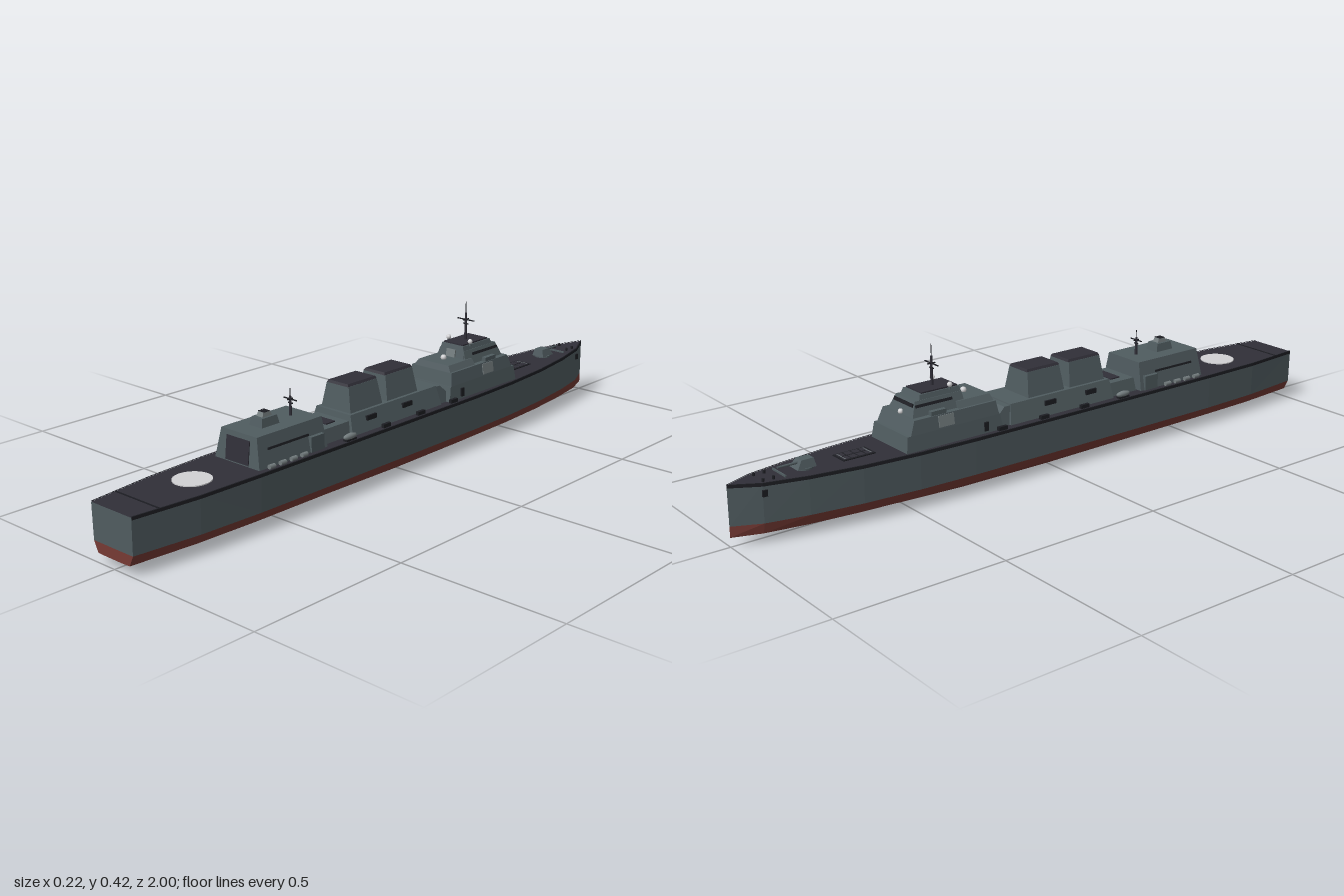
import * as THREE from 'three';

const mat = (name, color) => Object.assign(new THREE.MeshStandardMaterial({ color }), { name });

export function createModel() {
  const ship = new THREE.Group();
  ship.name = 'warship';
  const grey = mat('hull grey', 0x505c60), deckMat = mat('deck dark', 0x302f38);
  const red = mat('antifouling red', 0x763a34), black = mat('black fittings', 0x1d1e23);
  const light = mat('panel grey', 0x737c7e), white = mat('off white', 0xd2d2d4);

  function add(name, geo, material, x = 0, y = 0, z = 0, parent = ship) {
    const m = new THREE.Mesh(geo, material);
    m.name = name;
    m.position.set(x, y, z);
    parent.add(m);
    return m;
  }
  const box = (name, material, w, h, d, x, y, z) => add(name, new THREE.BoxGeometry(w, h, d), material, x, y, z);
  const rod = (name, material, r0, r1, h, x, y, z, sides = 8) =>
    add(name, new THREE.CylinderGeometry(r1, r0, h, sides), material, x, y, z);

  // Tapered block: [half width, aft z, fore z] at the bottom and at the top
  function block(name, material, y0, y1, bottom, top) {
    const g = new THREE.BoxGeometry(2, 1, 2).toNonIndexed(), p = g.attributes.position;
    for (let i = 0; i < p.count; i++) {
      const up = p.getY(i) > 0, [w, za, zf] = up ? top : bottom;
      p.setXYZ(i, p.getX(i) * w, up ? y1 : y0, p.getZ(i) > 0 ? za : zf);
    }
    g.computeVertexNormals();
    return add(name, g, material);
  }

  // Hull stations: z, half beam, keel y, deck y
  const stations = [
    [1, 0.078, 0.026, 0.159], [0.8, 0.1, 0.017, 0.161], [0.6, 0.108, 0.01, 0.163], [0.3, 0.109, 0.003, 0.163],
    [0, 0.109, 0, 0.163], [-0.3, 0.108, 0.002, 0.163], [-0.48, 0.102, 0.007, 0.163], [-0.65, 0.088, 0.012, 0.163],
    [-0.8, 0.066, 0.018, 0.164], [-0.92, 0.039, 0.023, 0.166], [-1, 0.001, 0.026, 0.169]];
  const edge = s => [s[1], s[3]];
  const water = s => [s[1] * 0.975, 0.057];
  const chine = s => [s[1] * 0.79, Math.max(0.027, s[2])];
  const keel = s => [s[1] * 0.4, s[2]];
  const centre = f => s => [0, f(s)[1]];
  const shift = (f, dx, dy) => s => [f(s)[0] + dx, f(s)[1] + dy];

  function strip(name, material, f, g) {
    const v = [];
    for (let i = 0; i < stations.length - 1; i++) for (const side of [1, -1]) {
      const at = (fn, s) => [fn(s)[0] * side, fn(s)[1], s[0]];
      const a = stations[i], b = stations[i + 1];
      const A = at(f, a), B = at(g, a), C = at(g, b), D = at(f, b);
      v.push(...(side > 0 ? [A, B, C, A, C, D] : [A, C, B, A, D, C]).flat());
    }
    const geo = new THREE.BufferGeometry();
    geo.setAttribute('position', new THREE.Float32BufferAttribute(v, 3));
    geo.computeVertexNormals();
    add(name, geo, material);
  }
  strip('hullSides', grey, edge, water);
  strip('bootTopping', red, water, chine);
  strip('bilge', red, chine, keel);
  strip('hullBottom', red, keel, centre(keel));
  strip('deck', deckMat, centre(edge), edge);
  strip('deckEdge', black, shift(edge, 0.001, 0.002), shift(edge, 0.001, -0.007));
  strip('deckEdgeTop', black, shift(edge, -0.003, 0.002), shift(edge, 0.001, 0.002));

  // Flat transom
  function transom(name, material, fns) {
    const half = fns.map(f => f(stations[0]));
    const pts = [...half, ...half.slice().reverse().map(([x, y]) => [-x, y])];
    add(name, new THREE.ShapeGeometry(new THREE.Shape(pts.map(p => new THREE.Vector2(...p)))), material, 0, 0, 1);
  }
  transom('transom', grey, [edge, water]);
  transom('transomBottom', red, [water, chine, keel]);

  // Flight deck
  rod('landingCircle', white, 0.053, 0.053, 0.003, 0, 0.164, 0.74, 40);
  box('flightDeckLine', black, 0.17, 0.002, 0.004, 0, 0.162, 0.92);

  // Hangar with door and roof gear
  block('hangar', grey, 0.16, 0.248, [0.086, 0.585, 0.33], [0.068, 0.575, 0.335]);
  const door = box('hangarDoor', deckMat, 0.088, 0.067, 0.004, 0, 0.2, 0.581);
  door.rotation.x = -0.113;
  block('roofTower', grey, 0.248, 0.272, [0.024, 0.515, 0.45], [0.02, 0.51, 0.455]);
  block('roofDirector', light, 0.272, 0.284, [0.012, 0.5, 0.465], [0.01, 0.495, 0.47]);
  for (let i = 0; i < 3; i++) box('roofSlot', black, 0.024, 0.002, 0.004, 0, 0.285, 0.475 + i * 0.008);
  for (const s of [1, -1]) {
    const slot = box('hangarSideRail', black, 0.004, 0.006, 0.15, s * 0.077, 0.212, 0.47);
    slot.rotation.z = s * 0.2;
    box('hangarSideLocker', grey, 0.012, 0.045, 0.05, s * 0.083, 0.184, 0.37);
  }

  // Low midships deckhouse
  block('midDeckhouse', grey, 0.16, 0.203, [0.07, 0.325, 0.22], [0.062, 0.32, 0.22]);
  box('midHatch', deckMat, 0.075, 0.005, 0.035, 0, 0.204, 0.268);

  // Funnel base and twin funnels
  block('funnelBase', grey, 0.16, 0.22, [0.082, 0.225, -0.16], [0.066, 0.218, -0.15]);
  block('funnelBaseFairing', grey, 0.16, 0.216, [0.074, -0.15, -0.235], [0.064, -0.15, -0.17]);
  for (const z of [0.141, -0.012]) {
    block('funnel', grey, 0.22, 0.292, [0.056, z + 0.066, z - 0.066], [0.042, z + 0.058, z - 0.058]);
    block('funnelCap', deckMat, 0.292, 0.299, [0.041, z + 0.06, z - 0.06], [0.037, z + 0.056, z - 0.056]);
    for (const s of [1, -1]) box('funnelVent', black, 0.006, 0.014, 0.04, s * 0.074, 0.199, z);
  }

  // Stepped bridge
  block('bridgeBase', grey, 0.16, 0.208, [0.088, -0.19, -0.515], [0.083, -0.2, -0.508]);
  block('bridgeMiddle', grey, 0.208, 0.247, [0.083, -0.203, -0.497], [0.077, -0.21, -0.482]);
  block('bridgeAftHouse', grey, 0.247, 0.265, [0.07, -0.212, -0.33], [0.058, -0.218, -0.33]);
  block('bridgeUpper', grey, 0.247, 0.288, [0.06, -0.3, -0.475], [0.046, -0.305, -0.458]);
  block('bridgeTop', grey, 0.265, 0.302, [0.05, -0.3, -0.45], [0.041, -0.308, -0.438]);
  block('bridgeRoof', deckMat, 0.302, 0.306, [0.037, -0.312, -0.43], [0.037, -0.312, -0.43]);
  box('aftRadarPanel', light, 0.034, 0.024, 0.004, 0, 0.277, -0.3).rotation.x = -0.2;
  const windows = box('bridgeWindows', black, 0.09, 0.01, 0.004, 0, 0.277, -0.464);
  windows.rotation.x = 0.4;
  for (const s of [1, -1]) {
    const panel = box('sideRadarPanel', light, 0.005, 0.032, 0.05, s * 0.08, 0.228, -0.38);
    panel.rotation.z = s * 0.15;
    box('sideWindows', black, 0.004, 0.008, 0.12, s * 0.0515, 0.275, -0.4).rotation.z = s * 0.33;
    box('wingLocker', grey, 0.014, 0.012, 0.05, s * 0.068, 0.253, -0.4);
    rod('radomeStand', grey, 0.004, 0.003, 0.012, s * 0.042, 0.304, -0.34);
    add('radome', new THREE.SphereGeometry(0.0075, 12, 8), white, s * 0.042, 0.312, -0.34);
    box('sideDoor', black, 0.005, 0.026, 0.014, s * 0.087, 0.182, -0.25);
  }
  add('aftDome', new THREE.SphereGeometry(0.009, 12, 8), white, 0, 0.27, -0.265);
  add('foreDome', new THREE.SphereGeometry(0.008, 12, 8), white, 0, 0.252, -0.474);

  // Masts with crossed yards
  function mast(y0, y1, z, yards) {
    rod('mast', deckMat, 0.0045, 0.003, (y1 - y0) * 0.72, 0, y0 + (y1 - y0) * 0.36, z);
    rod('mastWhip', black, 0.0013, 0.001, y1 - y0, 0, (y0 + y1) / 2, z, 6);
    for (const [y, w] of yards) {
      box('yard', black, w, 0.003, 0.003, 0, y, z);
      box('yardFore', black, 0.003, 0.003, w * 0.4, 0, y, z);
    }
  }
  mast(0.3, 0.424, -0.37, [[0.368, 0.064], [0.355, 0.018]]);
  mast(0.245, 0.325, 0.385, [[0.294, 0.05], [0.283, 0.016]]);

  // Foredeck gun and missile hatches
  rod('gunRing', grey, 0.026, 0.026, 0.006, 0, 0.166, -0.778, 16);
  block('gunTurret', grey, 0.168, 0.191, [0.022, -0.752, -0.808], [0.015, -0.756, -0.792]);
  rod('gunBarrel', grey, 0.004, 0.003, 0.06, 0, 0.182, -0.825).rotation.x = -Math.PI / 2;
  box('missileHatchFrame', black, 0.056, 0.003, 0.1, 0, 0.164, -0.625);
  for (let i = 0; i < 8; i++)
    box('missileHatch', deckMat, 0.021, 0.003, 0.019, (i % 2 - 0.5) * 0.026, 0.165, -0.66 + (i >> 1) * 0.0235);
  for (const z of [-0.585, -0.665]) box('hatchBar', light, 0.044, 0.003, 0.002, 0, 0.1655, z);

  // Breakwater, bollards, anchors, raft canisters and deck boats
  box('breakwater', grey, 0.07, 0.006, 0.004, 0, 0.167, -0.85);
  for (const s of [1, -1]) {
    box('anchor', black, 0.006, 0.018, 0.014, s * 0.041, 0.14, -0.915);
    for (const z of [-0.88, -0.91]) rod('bollard', black, 0.004, 0.004, 0.01, s * 0.025, 0.169, z);
    for (const z of [0.43, 0.47, 0.51, 0.55])
      rod('raftCanister', light, 0.0065, 0.0065, 0.02, s * 0.096, 0.17, z, 10).rotation.x = Math.PI / 2;
    const boat = add('boat', new THREE.SphereGeometry(0.01, 12, 8), light, s * 0.094, 0.174, 0.25);
    boat.scale.set(0.9, 0.9, 2.6);
    box('boatCradle', black, 0.014, 0.006, 0.04, s * 0.094, 0.165, 0.25);
    for (const z of [-0.05, -0.2, 0.1]) box('deckLocker', black, 0.01, 0.012, 0.03, s * 0.094, 0.168, z);
  }
  return ship;
}
